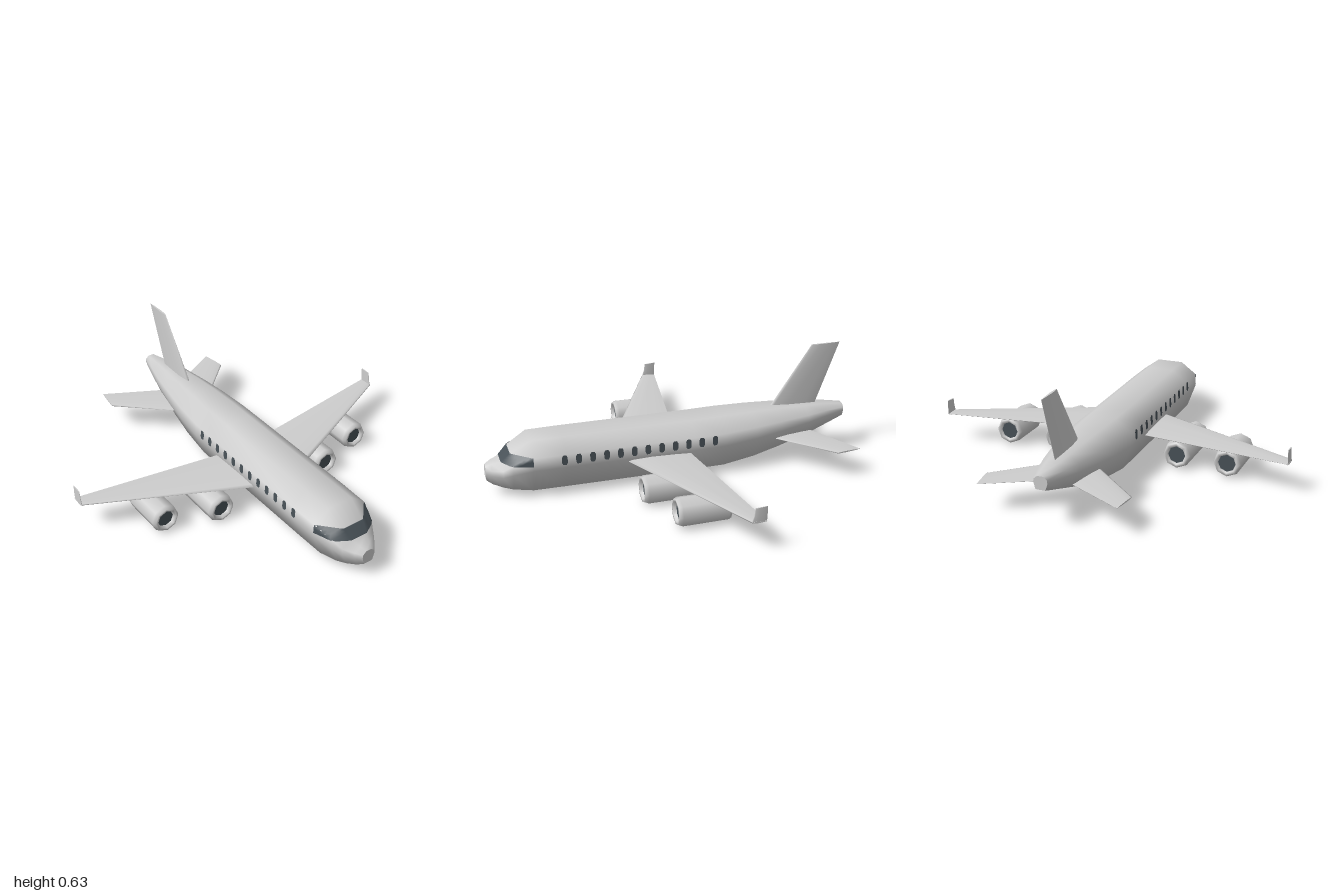
import * as THREE from 'three';

const paint = new THREE.MeshStandardMaterial({ color: 0xcdcdcd });
paint.name = 'light grey paint';
const glass = new THREE.MeshStandardMaterial({ color: 0x485157, side: THREE.DoubleSide });
glass.name = 'dark glass';

// Skin through rings of [x, y, z] points, smooth along the sides, flat at both ends
function loft(rings) {
  const n = rings[0].length, pos = rings.flat(2), idx = [];
  rings.slice(1).forEach((_, r) => {
    for (let i = 0; i < n; i++) {
      const a = r * n + i, b = r * n + (i + 1) % n;
      idx.push(a, b, b + n, a, b + n, a + n);
    }
  });
  for (const [ring, last] of [[rings[0], false], [rings[rings.length - 1], true]]) {
    const base = pos.length / 3;
    pos.push(...ring.flat());
    for (let i = 1; i < n - 1; i++) idx.push(base, base + (last ? i : i + 1), base + (last ? i + 1 : i));
  }
  // Turn the faces outward if the enclosed volume comes out negative
  const p = i => new THREE.Vector3().fromArray(pos, i * 3);
  let volume = 0;
  for (let i = 0; i < idx.length; i += 3) volume += p(idx[i]).dot(p(idx[i + 1]).cross(p(idx[i + 2])));
  if (volume < 0) idx.reverse();
  const geo = new THREE.BufferGeometry();
  geo.setAttribute('position', new THREE.Float32BufferAttribute(pos, 3));
  geo.setIndex(idx);
  geo.computeVertexNormals();
  return geo;
}

// Fuselage stations from nose to tail: z, top, bottom, half width
const STATIONS = [
  [1, 0.16, 0.085, 0.037], [0.97, 0.175, 0.068, 0.065], [0.92, 0.19, 0.054, 0.102],
  [0.87, 0.24, 0.045, 0.13], [0.77, 0.3, 0.036, 0.162], [0.6, 0.302, 0.036, 0.165],
  [-0.1, 0.302, 0.036, 0.166], [-0.27, 0.305, 0.036, 0.164], [-0.45, 0.305, 0.06, 0.148],
  [-0.6, 0.302, 0.092, 0.126], [-0.77, 0.293, 0.133, 0.096], [-0.87, 0.286, 0.162, 0.071],
  [-1, 0.268, 0.2, 0.036],
];
// Half cross-section, top to bottom: share of half width, share of height
const PROFILE = [[0.45, 1], [0.97, 0.76], [1, 0.5], [0.7, 0]];
const halfSection = ([z, top, bottom, w]) => PROFILE.map(([u, v]) => [u * w, bottom + v * (top - bottom), z]);

// Half width of the hull at a height and station
function hullX(y, z) {
  let i = 0;
  while (i < STATIONS.length - 2 && STATIONS[i + 1][0] > z) i++;
  const a = STATIONS[i], b = STATIONS[i + 1], t = (z - a[0]) / (b[0] - a[0]);
  const pts = halfSection(a.map((v, k) => v + (b[k] - v) * t));
  let k = 0;
  while (k < pts.length - 2 && pts[k + 1][1] > y) k++;
  const f = THREE.MathUtils.clamp((pts[k][1] - y) / (pts[k][1] - pts[k + 1][1]), 0, 1);
  return pts[k][0] + (pts[k + 1][0] - pts[k][0]) * f;
}

// Station where the sloping nose reaches a height
function noseZ(y) {
  const i = STATIONS.findIndex(s => s[1] >= y);
  const a = STATIONS[i - 1], b = STATIONS[i];
  return a[0] + (b[0] - a[0]) * (y - a[1]) / (b[1] - a[1]);
}

// Wrap-around cockpit window, just proud of the hull
function cockpitWindow() {
  const rows = 5, steps = 8, cols = steps * 2 + 2, pos = [], idx = [];
  for (let r = 0; r < rows; r++) {
    const y = 0.191 + 0.048 * r / (rows - 1), front = noseZ(y);
    for (let c = 0; c < cols; c++) {
      const side = c <= steps ? -1 : 1;
      const t = (side < 0 ? c : cols - 1 - c) / steps;
      const z = 0.77 + (front - 0.77) * t;
      pos.push(side * (hullX(y, z) + 0.003), y, z + 0.004 * t);
      if (r && c) {
        const d = r * cols + c, b = d - cols;
        idx.push(b - 1, b, d, b - 1, d, d - 1);
      }
    }
  }
  const geo = new THREE.BufferGeometry();
  geo.setAttribute('position', new THREE.Float32BufferAttribute(pos, 3));
  geo.setIndex(idx);
  geo.computeVertexNormals();
  return geo;
}

// Cabin window: a clipped oblong laid on the hull side
function cabinWindow(side, zc) {
  const s = new THREE.Shape();
  [[-0.015, -0.015], [-0.008, -0.026], [0.008, -0.026], [0.015, -0.015],
    [0.015, 0.015], [0.008, 0.026], [-0.008, 0.026], [-0.015, 0.015]]
    .forEach(([u, v], i) => (i ? s.lineTo(u, v) : s.moveTo(u, v)));
  const geo = new THREE.ShapeGeometry(s), p = geo.attributes.position;
  for (let i = 0; i < p.count; i++) {
    const y = 0.21 + p.getY(i), z = zc - side * p.getX(i);
    p.setXYZ(i, side * (hullX(y, z) + 0.002), y, z);
  }
  geo.computeVertexNormals();
  return geo;
}

// Thin aerofoil ring between a leading and a trailing point, thickened along an axis
const AEROFOIL = [[0, 0], [0.06, 0.6], [0.35, 1], [0.75, 0.6], [1, 0.12],
  [1, -0.12], [0.75, -0.6], [0.35, -1], [0.06, -0.6]];
const foil = (lead, trail, half, axis) => AEROFOIL.map(([t, h]) =>
  lead.map((v, k) => v + (trail[k] - v) * t + (k === axis ? h * half : 0)));

// Nacelle: octagonal shell with rolled lips and recessed dark discs
function engine(x, y, back, front) {
  const g = new THREE.Group();
  g.name = 'engine';
  const pts = [[0.046, back + 0.012], [0.052, back], [0.068, back], [0.075, back + 0.015],
    [0.077, front - 0.02], [0.067, front], [0.054, front], [0.046, front - 0.02]];
  const shell = new THREE.Mesh(new THREE.LatheGeometry(pts.map(p => new THREE.Vector2(...p)), 8), paint);
  shell.name = 'nacelle';
  shell.rotation.x = Math.PI / 2;
  g.add(shell);
  for (const [name, z] of [['intake', front - 0.018], ['exhaust', back + 0.01]]) {
    const disc = new THREE.Mesh(new THREE.CircleGeometry(0.05, 8, Math.PI / 2), glass);
    disc.name = name;
    disc.position.z = z;
    if (name === 'exhaust') disc.rotation.y = Math.PI;
    g.add(disc);
  }
  g.position.set(x, y, 0);
  return g;
}

export function createModel() {
  const model = new THREE.Group();
  model.name = 'airliner';
  const add = (name, geo, mat = paint) => {
    const m = new THREE.Mesh(geo, mat);
    m.name = name;
    model.add(m);
  };

  // Fuselage
  add('fuselage', loft(STATIONS.map(s => {
    const half = halfSection(s);
    return [...half, ...half.map(([x, y, z]) => [-x, y, z]).reverse()];
  })));
  add('cockpitWindow', cockpitWindow(), glass);

  // Upright tail fin
  add('tailFin', loft([
    foil([0, 0.27, -0.556], [0, 0.27, -0.833], 0.013, 0),
    foil([0, 0.63, -0.805], [0, 0.63, -0.968], 0.006, 0),
  ]));

  for (const s of [1, -1]) {
    const side = s > 0 ? 'left' : 'right';
    // Main wing and upturned tip
    add(side + 'Wing', loft([
      foil([s * 0.08, 0.153, 0.311], [s * 0.08, 0.153, -0.057], 0.013, 1),
      foil([s * 0.965, 0.158, -0.112], [s * 0.965, 0.158, -0.188], 0.005, 1),
    ]));
    add(side + 'Winglet', loft([
      foil([s * 0.961, 0.155, -0.11], [s * 0.961, 0.155, -0.187], 0.004, 0),
      foil([s * 0.961, 0.19, -0.122], [s * 0.961, 0.19, -0.189], 0.004, 0),
      foil([s * 0.961, 0.232, -0.128], [s * 0.961, 0.236, -0.19], 0.003, 0),
    ]));
    // Tailplane
    add(side + 'Tailplane', loft([
      foil([s * 0.03, 0.152, -0.486], [s * 0.03, 0.152, -0.772], 0.009, 1),
      foil([s * 0.38, 0.15, -0.815], [s * 0.362, 0.15, -0.955], 0.004, 1),
    ]));
    // Engines under the wing
    model.add(engine(s * 0.345, 0.077, -0.095, 0.252));
    model.add(engine(s * 0.625, 0.081, -0.115, 0.158));
    // Cabin windows
    for (let i = 0; i < 12; i++) add(side + 'CabinWindow', cabinWindow(s, 0.61 - i * 0.074), glass);
  }
  return model;
}
